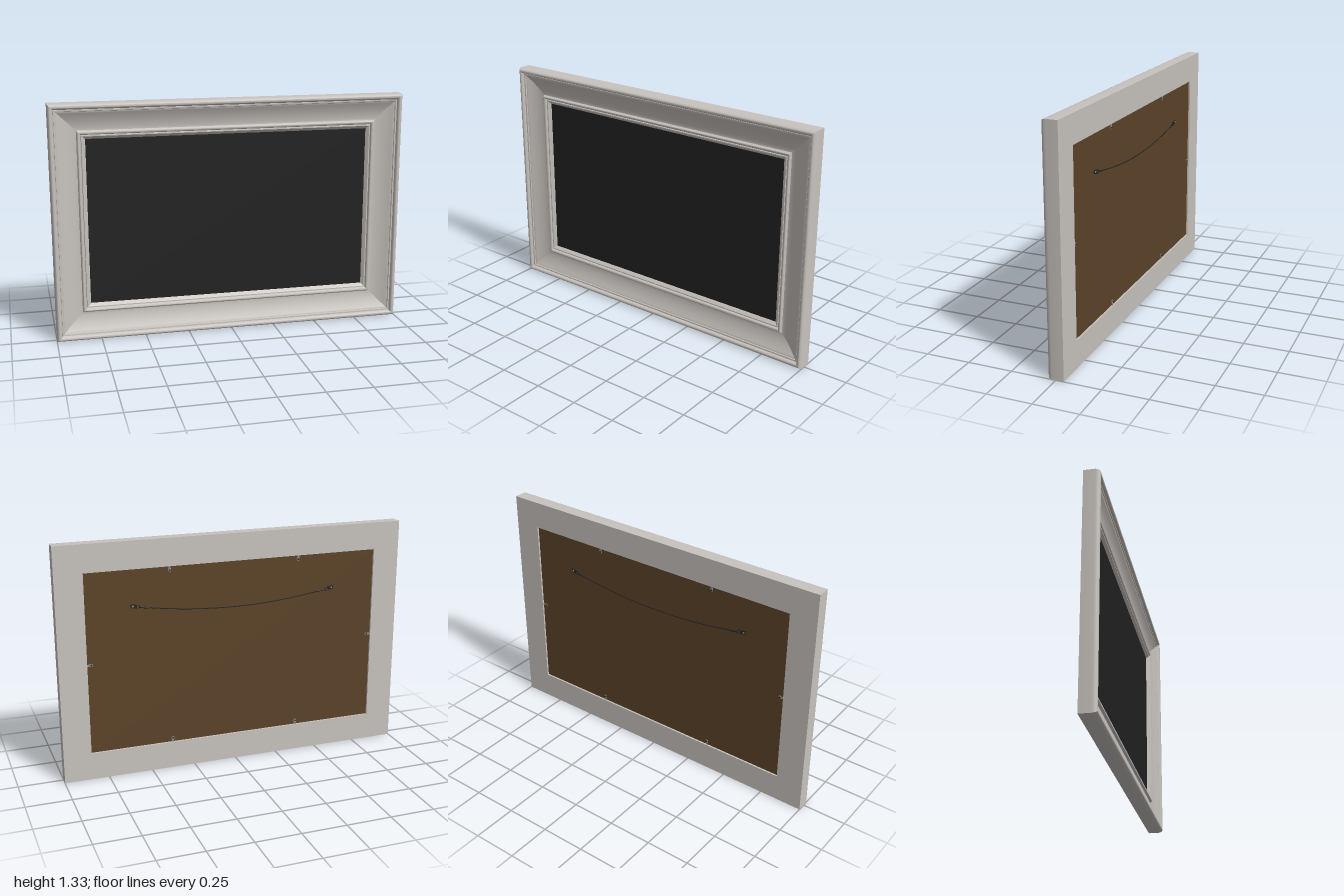
import * as THREE from 'three';
import { toCreasedNormals } from 'three/addons/utils/BufferGeometryUtils.js';

const W = 2, H = 1.33;

const paint = (name, color) => {
  const m = new THREE.MeshStandardMaterial({ color });
  m.name = name;
  return m;
};

// Moulding cross-section as [inset from outer edge, z], running from the back
// round the outer lip, down the cove, over the bead to the sight edge and back
function mouldingProfile() {
  const p = [[0, -0.045], [0, 0.018]];
  for (let i = 1; i <= 8; i++) { // rounded outer lip
    const a = Math.PI - (i / 8) * Math.PI * 0.9;
    p.push([0.016 + 0.016 * Math.cos(a), 0.018 + 0.027 * Math.sin(a)]);
  }
  p.push([0.032, 0.029], [0.041, 0.029], [0.043, 0.024]);
  for (let i = 1; i <= 10; i++) { // concave cove
    const t = i / 10;
    p.push([0.043 + 0.108 * t, -0.01 + 0.034 * Math.pow(1 - t, 1.8)]);
  }
  for (let i = 0; i <= 6; i++) { // inner bead
    const a = Math.PI * (1 - i / 6);
    p.push([0.163 + 0.01 * Math.cos(a), -0.007 + 0.01 * Math.sin(a)]);
  }
  p.push([0.175, -0.012], [0.177, -0.005], [0.183, -0.005], [0.191, -0.012], [0.2, -0.022]);
  p.push([0.2, -0.03], [0.155, -0.03], [0.155, -0.045]); // rebate
  return p;
}

// One mitred rail between two neighbouring corners
function railGeometry(profile, c0, c1) {
  const at = ([sx, sy], [inset, z]) => [sx * (W / 2 - inset), H / 2 + sy * (H / 2 - inset), z];
  const pos = [];
  profile.forEach((p, i) => {
    const q = profile[(i + 1) % profile.length];
    const a0 = at(c0, p), b0 = at(c1, p), a1 = at(c0, q), b1 = at(c1, q);
    pos.push(...a0, ...b0, ...b1, ...a0, ...b1, ...a1);
  });
  const g = new THREE.BufferGeometry();
  g.setAttribute('position', new THREE.Float32BufferAttribute(pos, 3));
  return toCreasedNormals(g, 0.6);
}

export function createModel() {
  const model = new THREE.Group();
  model.name = 'pictureFrame';
  const frameMat = paint('warm grey frame', 0xc8c3be);
  const pictureMat = paint('black picture', 0x222222);
  const boardMat = paint('brown backing', 0x5c4328);
  const steelMat = paint('steel', 0x8c8c8c);
  const darkMat = paint('dark metal', 0x262626);

  const add = (parent, name, geo, mat, x = 0, y = 0, z = 0) => {
    const m = new THREE.Mesh(geo, mat);
    m.name = name;
    m.position.set(x, y, z);
    parent.add(m);
    return m;
  };

  // Four mitred rails
  const profile = mouldingProfile();
  const corners = [[-1, -1], [1, -1], [1, 1], [-1, 1]];
  ['bottomRail', 'leftRail', 'topRail', 'rightRail'].forEach((name, i) =>
    add(model, name, railGeometry(profile, corners[i], corners[(i + 1) % 4]), frameMat));

  // Picture panel and backing board
  add(model, 'picture', new THREE.BoxGeometry(W - 0.36, H - 0.36, 0.006), pictureMat, 0, H / 2, -0.024);
  add(model, 'backingBoard', new THREE.BoxGeometry(W - 0.312, H - 0.312, 0.007), boardMat, 0, H / 2, -0.0325);

  // Turn clips holding the board
  const clipShape = new THREE.Shape();
  clipShape.absarc(0, 0, 0.009, Math.PI, 0, false);
  clipShape.lineTo(0.004, 0.024);
  clipShape.lineTo(-0.004, 0.024);
  const clipGeo = new THREE.ExtrudeGeometry(clipShape, { depth: 0.003, bevelEnabled: false, curveSegments: 8 });
  const screwGeo = new THREE.CylinderGeometry(0.005, 0.005, 0.004, 12).rotateX(Math.PI / 2);
  const addClip = (x, y, angle) => {
    const clip = new THREE.Group();
    clip.name = 'turnClip';
    clip.position.set(x, y, -0.036);
    clip.rotation.z = angle;
    add(clip, 'clipPlate', clipGeo, steelMat, 0, 0, -0.003);
    add(clip, 'clipScrew', screwGeo, darkMat, 0, 0, -0.005);
    model.add(clip);
  };
  for (const s of [-1, 1]) {
    addClip(s * 0.375, 1.152, 0);
    addClip(s * 0.375, 0.178, Math.PI);
    addClip(s * 0.822, H / 2, -s * Math.PI / 2);
  }

  // Hanging wire with its strap hangers
  const wireZ = -0.04;
  const wire = new THREE.QuadraticBezierCurve3(
    new THREE.Vector3(-0.545, 0.965, wireZ),
    new THREE.Vector3(0, 0.865, wireZ),
    new THREE.Vector3(0.545, 0.965, wireZ));
  add(model, 'hangingWire', new THREE.TubeGeometry(wire, 40, 0.0028, 6), darkMat);
  for (const s of [-1, 1]) {
    const hanger = new THREE.Group();
    hanger.name = 'wireHanger';
    hanger.position.set(s * 0.578, 0.97, -0.038);
    hanger.rotation.z = s * 0.18;
    add(hanger, 'hangerPlate', new THREE.BoxGeometry(0.034, 0.02, 0.004), darkMat);
    add(hanger, 'hangerScrew', screwGeo, steelMat, s * 0.006, 0, -0.003);
    add(hanger, 'hangerRing', new THREE.TorusGeometry(0.011, 0.0025, 6, 16), darkMat, -s * 0.022, 0, -0.001);
    // wire wrapped back on itself
    const twist = new THREE.CylinderGeometry(0.0045, 0.0045, 0.05, 8).rotateZ(Math.PI / 2);
    add(hanger, 'wireTwist', twist, darkMat, -s * 0.06, 0, -0.002);
    model.add(hanger);
  }
  return model;
}
